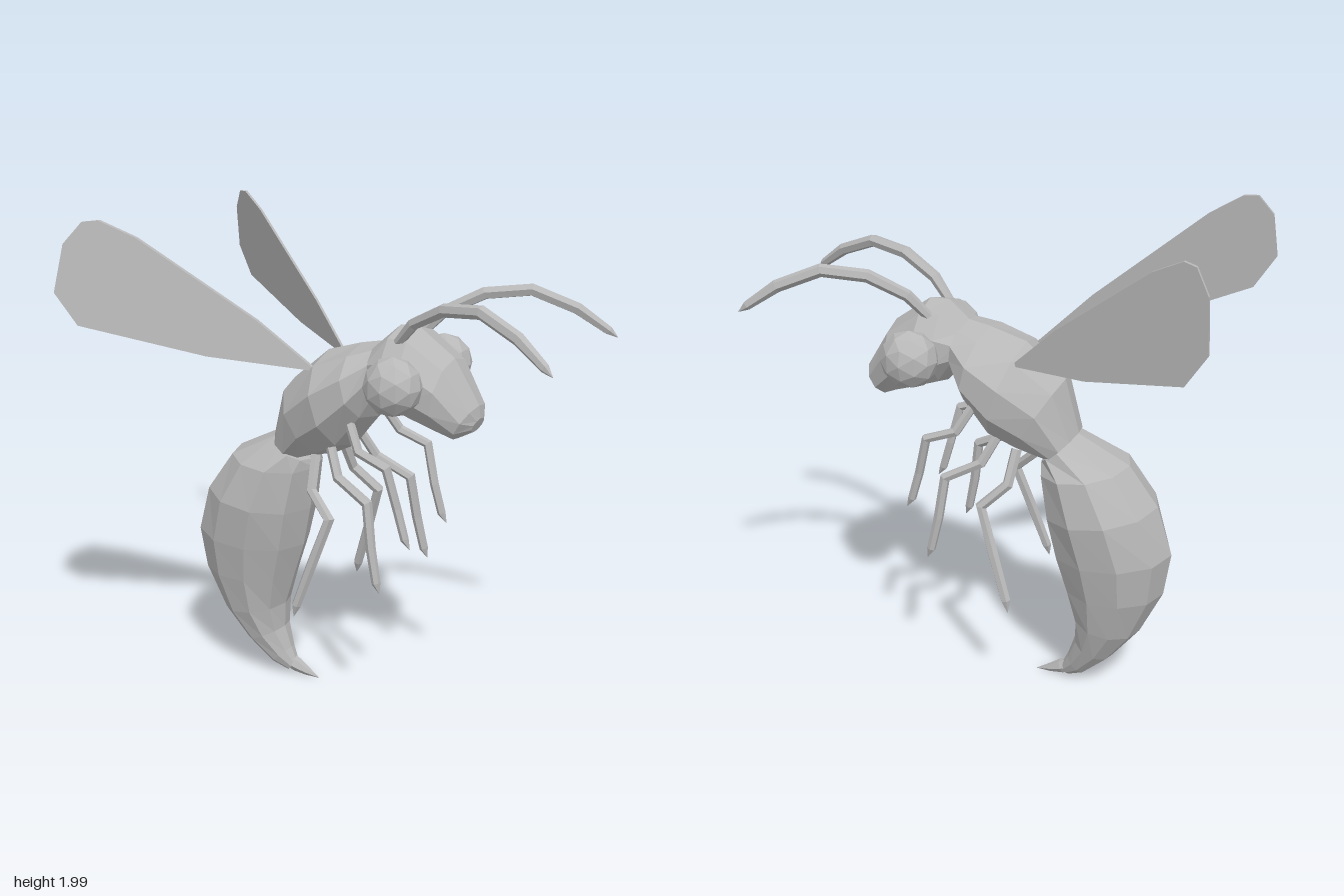
import * as THREE from 'three';

const grey = new THREE.MeshStandardMaterial({ color: 0xb8b8b8 });
grey.name = 'body grey';

function addPart(group, name, geometry) {
  const flat = geometry.index ? geometry.toNonIndexed() : geometry;
  flat.computeVertexNormals();
  const mesh = new THREE.Mesh(flat, grey);
  mesh.name = name;
  group.add(mesh);
  return mesh;
}

// Rings given as [back x, back y, belly x, belly y, half width], capped at both ends
function loft(sections, sides = 10) {
  const pos = [], idx = [];
  const wide = 1 / Math.cos(Math.PI / (2 * sides) * 2);
  sections.forEach(([ax, ay, bx, by, w]) => {
    for (let j = 0; j < sides; j++) {
      const t = (j / sides) * Math.PI * 2, c = Math.cos(t) / 2;
      pos.push((ax + bx) / 2 + (ax - bx) * c, (ay + by) / 2 + (ay - by) * c, Math.sin(t) * w * wide);
    }
  });
  const last = (sections.length - 1) * sides;
  const ends = [sections[0], sections[sections.length - 1]];
  ends.forEach(([ax, ay, bx, by]) => pos.push((ax + bx) / 2, (ay + by) / 2, 0));
  const c0 = last + sides;
  for (let j = 0; j < sides; j++) {
    const k = (j + 1) % sides;
    for (let i = 0; i < last; i += sides) {
      idx.push(i + j, i + k, i + sides + j, i + k, i + sides + k, i + sides + j);
    }
    idx.push(c0, k, j, c0 + 1, last + j, last + k);
  }
  const g = new THREE.BufferGeometry();
  g.setAttribute('position', new THREE.Float32BufferAttribute(pos, 3));
  g.setIndex(idx);
  return g;
}

// Jointed tapering tube; points are [x, y, z, radius], side mirrors z
function limb(points, side = 1, sides = 6) {
  const path = points.map(([x, y, z]) => new THREE.Vector3(x, y, z * side));
  const curve = new THREE.CatmullRomCurve3(path);
  curve.getPointAt = (t, v) => curve.getPoint(t, v);
  curve.getTangentAt = (t, v) => curve.getTangent(t, v);
  const g = new THREE.TubeGeometry(curve, path.length - 1, 1, sides, false);
  const p = g.attributes.position, v = new THREE.Vector3();
  for (let i = 0; i < p.count; i++) {
    const ring = Math.floor(i / (sides + 1));
    v.fromBufferAttribute(p, i).sub(path[ring]).multiplyScalar(points[ring][3]).add(path[ring]);
    p.setXYZ(i, v.x, v.y, v.z);
  }
  return g;
}

// Thin blade leaning outward from the thorax
function wing(side) {
  const outline = [[-0.1, 1.42], [-0.31, 1.62], [-0.71, 1.935], [-0.83, 2.0], [-0.88, 1.995],
    [-0.935, 1.915], [-0.955, 1.735], [-0.875, 1.61], [-0.46, 1.485]];
  const shape = new THREE.Shape(outline.map(([x, y]) => new THREE.Vector2(x, y)));
  const g = new THREE.ExtrudeGeometry(shape, { depth: 0.016, bevelEnabled: false });
  const p = g.attributes.position;
  for (let i = 0; i < p.count; i++) {
    const lean = 0.13 + 0.66 * (-p.getX(i) - 0.115) - 0.178 * (p.getY(i) - 1.43);
    p.setZ(i, side * lean + p.getZ(i) - 0.008);
  }
  return g;
}

export function createModel() {
  const model = new THREE.Group();
  model.name = 'wasp';

  // Body, each part running from tail towards the head
  addPart(model, 'abdomen', loft([
    [-0.33, 0.02, -0.29, 0.06, 0.03], [-0.40, 0.05, -0.32, 0.125, 0.06],
    [-0.51, 0.15, -0.35, 0.22, 0.1], [-0.62, 0.29, -0.345, 0.33, 0.14],
    [-0.71, 0.48, -0.30, 0.47, 0.175], [-0.735, 0.66, -0.25, 0.62, 0.205],
    [-0.67, 0.86, -0.215, 0.79, 0.225], [-0.55, 1.02, -0.19, 0.97, 0.195],
    [-0.33, 1.13, -0.20, 1.01, 0.13],
  ]));
  addPart(model, 'thorax', loft([
    [-0.34, 1.13, -0.22, 1.02, 0.135], [-0.28, 1.345, -0.10, 1.05, 0.19],
    [-0.12, 1.48, 0.0, 1.1, 0.235], [0.03, 1.525, 0.10, 1.235, 0.225],
    [0.13, 1.545, 0.15, 1.35, 0.16],
  ]));
  addPart(model, 'head', loft([
    [0.11, 1.535, 0.14, 1.36, 0.15], [0.20, 1.615, 0.21, 1.28, 0.18],
    [0.28, 1.615, 0.30, 1.25, 0.19], [0.43, 1.51, 0.39, 1.22, 0.165],
    [0.535, 1.34, 0.455, 1.2, 0.115], [0.542, 1.29, 0.52, 1.235, 0.05],
  ]));
  addPart(model, 'stinger', limb([[-0.37, 0.08, 0, 0.03], [-0.29, 0.046, 0, 0.03],
    [-0.24, 0.027, 0, 0.018], [-0.18, 0.01, 0, 0.001]]));

  // Paired parts
  const legs = {
    frontLeg: [[0.05, 1.24, 0.14, 0.02], [0.11, 1.135, 0.175, 0.02], [0.235, 1.09, 0.18, 0.02],
      [0.275, 0.93, 0.165, 0.018], [0.31, 0.81, 0.165, 0.017], [0.333, 0.77, 0.165, 0.001]],
    middleLeg: [[-0.045, 1.12, 0.12, 0.02], [0.01, 1.01, 0.16, 0.021], [0.155, 0.935, 0.185, 0.022],
      [0.18, 0.76, 0.2, 0.02], [0.21, 0.62, 0.21, 0.018], [0.226, 0.58, 0.212, 0.001]],
    rearLeg: [[-0.12, 1.07, 0.11, 0.022], [-0.105, 0.94, 0.17, 0.022], [-0.005, 0.845, 0.205, 0.024],
      [-0.07, 0.65, 0.235, 0.022], [-0.13, 0.47, 0.257, 0.02], [-0.14, 0.42, 0.263, 0.001]],
  };
  const antenna = [[0.225, 1.55, 0.1, 0.018], [0.32, 1.655, 0.135, 0.024], [0.465, 1.73, 0.18, 0.026],
    [0.635, 1.75, 0.235, 0.026], [0.80, 1.685, 0.288, 0.025], [0.915, 1.605, 0.325, 0.018],
    [0.948, 1.58, 0.336, 0.001]];

  for (const side of [1, -1]) {
    const label = side > 0 ? 'PlusZ' : 'MinusZ';
    for (const [name, points] of Object.entries(legs)) addPart(model, name + label, limb(points, side));
    addPart(model, 'antenna' + label, limb(antenna, side));
    addPart(model, 'wing' + label, wing(side));
    const eye = addPart(model, 'eye' + label, new THREE.IcosahedronGeometry(0.115, 1));
    eye.position.set(0.28, 1.43, side * 0.22);
    eye.scale.z = 0.92;
  }
  return model;
}
